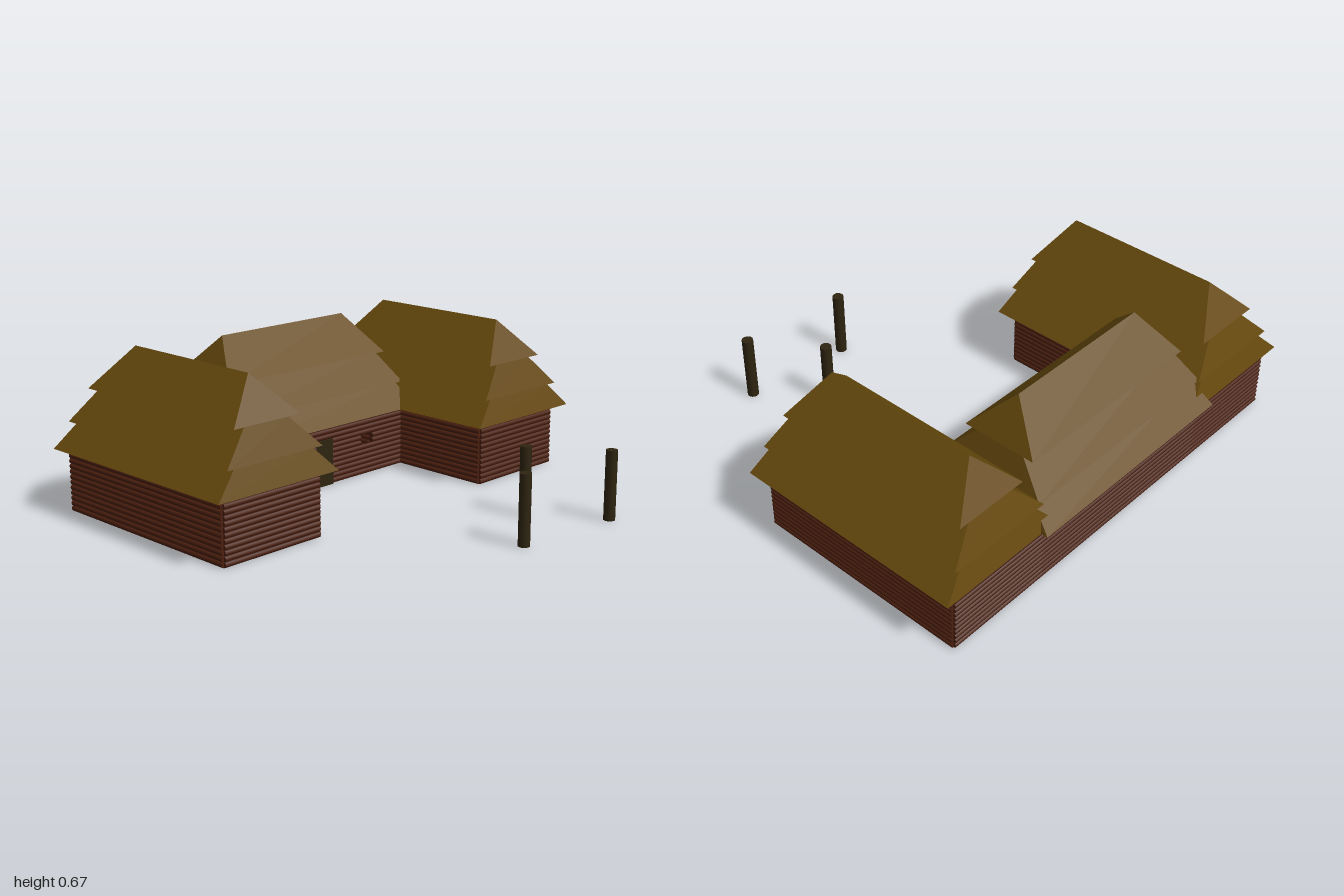
import * as THREE from 'three';

const thatch = new THREE.MeshStandardMaterial({ color: 0x66490d });
thatch.name = 'thatch';
const logWood = new THREE.MeshStandardMaterial({ color: 0x4c200f });
logWood.name = 'log wood';
const darkWood = new THREE.MeshStandardMaterial({ color: 0x2e2410 });
darkWood.name = 'dark wood';

const WALL_H = 0.265, ROWS = 12, PITCH = WALL_H / ROWS;
const logGeo = new THREE.CylinderGeometry(PITCH * 0.53, PITCH * 0.53, 1, 8);

function add(parent, name, geo, mat, x, y, z) {
  const mesh = new THREE.Mesh(geo, mat);
  mesh.name = name;
  mesh.position.set(x, y, z);
  parent.add(mesh);
  return mesh;
}

// Hipped block: a box whose top face is narrowed
function hip(wx, wz, tx, tz, y0, y1) {
  const geo = new THREE.BoxGeometry(2, y1 - y0, 2).toNonIndexed();
  const p = geo.attributes.position;
  for (let i = 0; i < p.count; i++) {
    const top = p.getY(i) > 0;
    p.setX(i, p.getX(i) * (top ? tx : wx));
    p.setZ(i, p.getZ(i) * (top ? tz : wz));
  }
  geo.translate(0, (y0 + y1) / 2, 0);
  geo.computeVertexNormals();
  return geo;
}

// Three overlapping tiers: [base span, base length, top span, top length, y0, y1]
const TIERS = [
  [0.295, 0.51, 0.19, 0.475, 0.265, 0.37],
  [0.233, 0.487, 0.105, 0.435, 0.37, 0.5],
  [0.162, 0.445, 0, 0.34, 0.5, 0.665],
];
function roof(name, x, z, alongX) {
  const g = new THREE.Group();
  g.name = name;
  for (const [s, l, ts, tl, y0, y1] of TIERS) add(g, 'thatchTier', hip(s, l, ts, tl, y0, y1), thatch, 0, 0, 0);
  g.position.set(x, 0, z);
  if (alongX) g.rotation.y = Math.PI / 2;
  return g;
}

// Stacked logs between two ground points; openings are [from, to, firstRow, lastRow]
function logWall(name, x0, z0, x1, z1, openings = []) {
  const g = new THREE.Group();
  g.name = name;
  const dx = x1 - x0, dz = z1 - z0, len = Math.hypot(dx, dz);
  for (let r = 0; r < ROWS; r++) {
    let start = 0;
    const spans = [];
    for (const [a, b, lo, hi] of openings) {
      if (r < lo || r > hi) continue;
      spans.push([start, a]);
      start = b;
    }
    spans.push([start, len]);
    for (const [a, b] of spans) {
      const t = (a + b) / 2 / len;
      const log = add(g, 'log', logGeo, logWood, x0 + dx * t, (r + 0.5) * PITCH, z0 + dz * t);
      log.scale.y = b - a;
      if (Math.abs(dx) > Math.abs(dz)) log.rotation.z = Math.PI / 2;
      else log.rotation.x = Math.PI / 2;
    }
  }
  return g;
}

export function createModel() {
  const model = new THREE.Group();
  model.name = 'longhouse';
  const front = 0.148, back = -0.79, outer = 0.94, inner = 0.47, hallFront = -0.315;

  // Side wings
  for (const s of [1, -1]) {
    const wing = new THREE.Group();
    wing.name = s > 0 ? 'leftWing' : 'rightWing';
    wing.add(
      logWall('outerWall', s * outer, front, s * outer, back),
      logWall('innerWall', s * inner, front, s * inner, back),
      logWall('frontWall', s * inner, front, s * outer, front),
      logWall('backWall', s * inner, back, s * outer, back),
      roof('wingRoof', s * 0.705, -0.31, false),
    );
    model.add(wing);
  }

  // Central hall with a doorway and two small windows
  const hall = new THREE.Group();
  hall.name = 'hall';
  hall.add(
    logWall('hallFrontWall', -inner, hallFront, inner, hallFront, [
      [inner - 0.285, inner - 0.215, 6, 7],
      [inner - 0.05, inner + 0.04, 0, 8],
      [inner + 0.215, inner + 0.285, 6, 7],
    ]),
    logWall('hallBackWall', -inner, back, inner, back),
    roof('hallRoof', 0, -0.555, true),
  );
  add(hall, 'door', new THREE.BoxGeometry(0.09, 0.2, 0.03), darkWood, -0.005, 0.1, hallFront);
  model.add(hall);

  // Free-standing posts in the yard
  const postGeo = new THREE.CylinderGeometry(0.024, 0.024, 0.288, 14);
  for (const [x, z] of [[0, 0.772], [0.285, 0.545], [0.475, 0.821]]) add(model, 'post', postGeo, darkWood, x, 0.144, z);

  return model;
}
